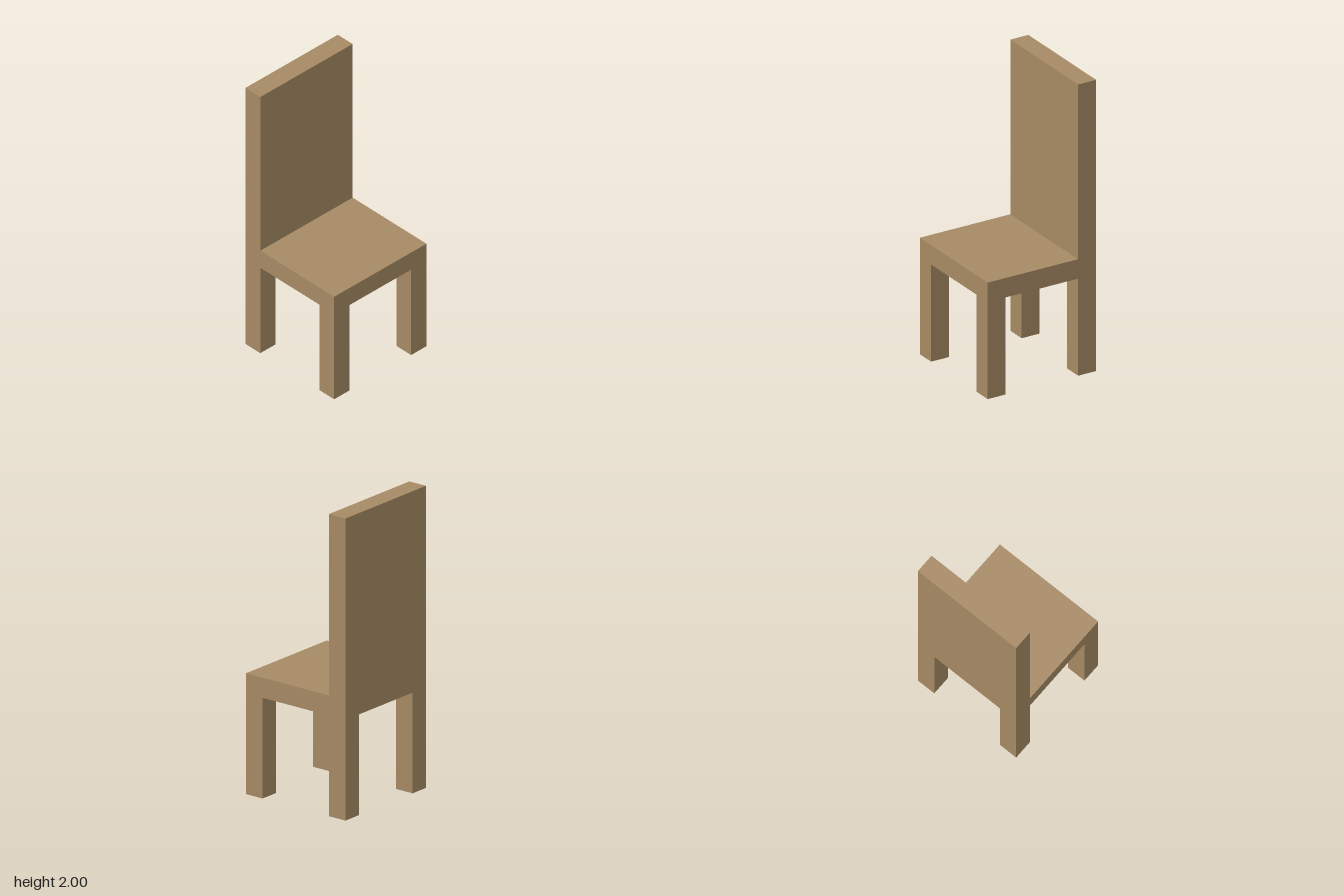
import * as THREE from 'three';

const WIDTH = 0.8;        // seat width and depth
const THICK = 2 / 15;     // thickness of seat, back and legs
const SEAT_TOP = 0.8;
const HEIGHT = 2;

export function createModel() {
  const chair = new THREE.Group();
  chair.name = 'chair';
  const wood = new THREE.MeshStandardMaterial({ color: 0xa68a64 });

  // Box placed by its centre in x and z and by its underside in y
  const addBox = (name, w, h, d, x, bottom, z) => {
    const mesh = new THREE.Mesh(new THREE.BoxGeometry(w, h, d), wood);
    mesh.name = name;
    mesh.position.set(x, bottom + h / 2, z);
    chair.add(mesh);
  };

  const legHeight = SEAT_TOP - THICK;
  const edge = (WIDTH - THICK) / 2;

  // Seat slab and upright back panel
  addBox('seat', WIDTH, THICK, WIDTH, 0, legHeight, 0);
  addBox('backrest', WIDTH, HEIGHT - SEAT_TOP, THICK, 0, SEAT_TOP, -edge);

  // Four square legs, flush with the seat corners
  for (const [side, x] of [['Left', edge], ['Right', -edge]]) {
    for (const [end, z] of [['front', edge], ['back', -edge]]) {
      addBox(`${end}${side}Leg`, THICK, legHeight, THICK, x, 0, z);
    }
  }

  return chair;
}
